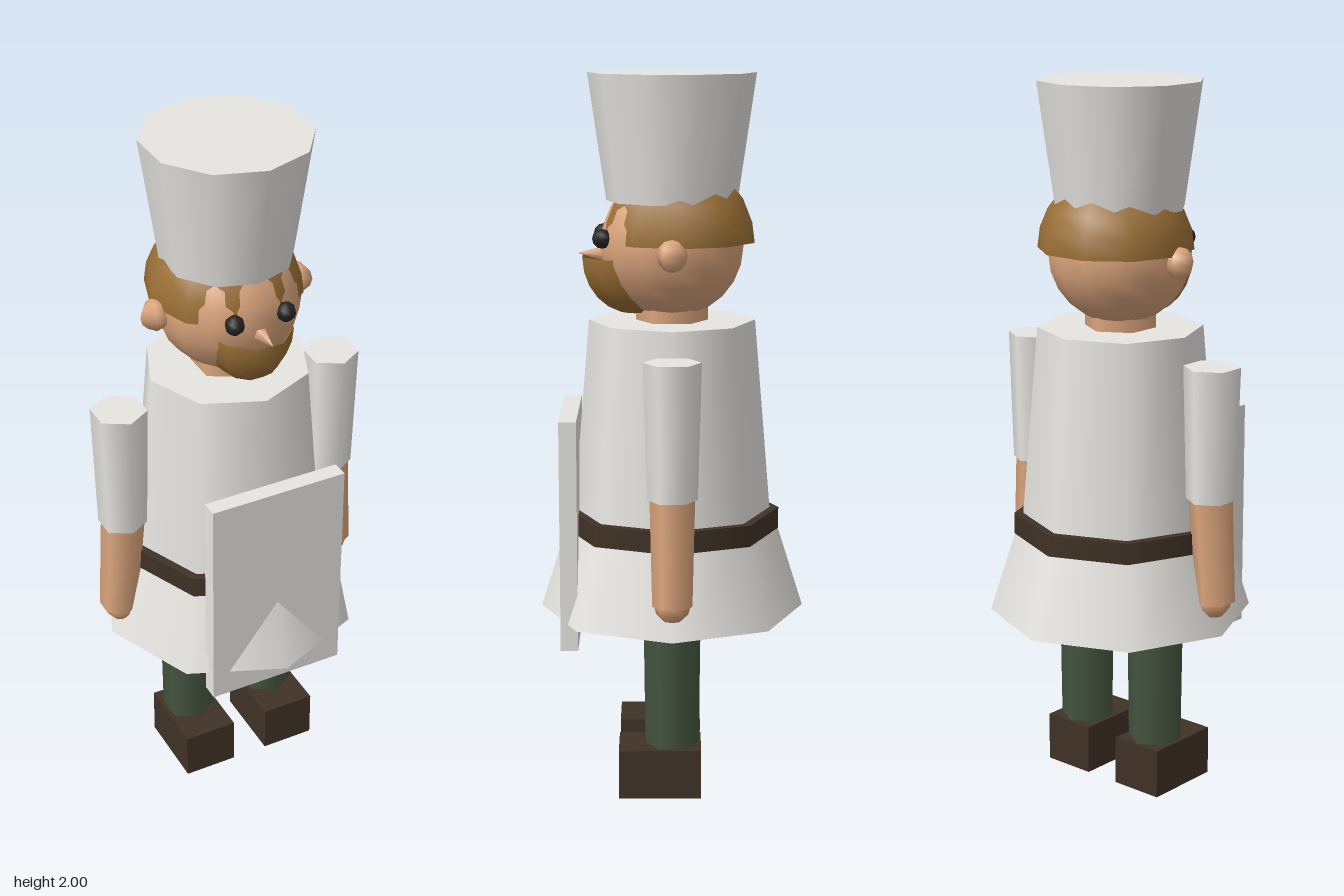
import * as THREE from 'three';

const mat = (name, color) => {
  const m = new THREE.MeshStandardMaterial({ color });
  m.name = name;
  return m;
};

export function createModel() {
  const white = mat('white cloth', 0xeeece8);
  const skin = mat('skin', 0xdba57c);
  const hairMat = mat('hair brown', 0x9a6f35);
  hairMat.side = THREE.DoubleSide;
  const green = mat('trouser green', 0x455540);
  const leather = mat('dark leather', 0x403226);
  const black = mat('eye black', 0x252422);

  const model = new THREE.Group();
  model.name = 'cook';

  const add = (name, geometry, material, x, y, z = 0) => {
    const mesh = new THREE.Mesh(geometry, material);
    mesh.name = name;
    mesh.position.set(x, y, z);
    model.add(mesh);
    return mesh;
  };
  // Upright tapered prism between two heights
  const taper = (name, rTop, rBottom, y0, y1, sides, material, x = 0) =>
    add(name, new THREE.CylinderGeometry(rTop, rBottom, y1 - y0, sides), material, x, (y0 + y1) / 2);

  // Clothing
  taper('tunic', 0.23, 0.28, 0.73, 1.325, 8, white);
  taper('skirt', 0.288, 0.37, 0.505, 0.765, 8, white);
  taper('belt', 0.3, 0.3, 0.73, 0.79, 8, leather);
  add('apron', new THREE.BoxGeometry(0.4, 0.645, 0.048), white, 0, 0.752, 0.284);

  // Head and face
  taper('neck', 0.1, 0.1, 1.28, 1.42, 6, skin);
  add('head', new THREE.SphereGeometry(0.2, 14, 12), skin, 0, 1.535);
  const hair = new THREE.SphereGeometry(0.215, 10, 6, 0, Math.PI * 2, 0, Math.PI / 2);
  add('hair', hair, hairMat, 0, 1.545, -0.02);
  const beard = new THREE.SphereGeometry(1, 10, 6, 0, Math.PI * 2, Math.PI / 2, Math.PI / 2);
  beard.scale(0.122, 0.16, 0.15);
  add('beard', beard, hairMat, 0, 1.502, 0.103);
  add('nose', new THREE.ConeGeometry(0.025, 0.085, 5), skin, 0, 1.51, 0.218).rotation.x = Math.PI / 2;

  // Hat
  taper('hat', 0.23, 0.18, 1.655, 2, 10, white);

  // Mirrored parts
  for (const [side, s] of [['left', 1], ['right', -1]]) {
    add(side + 'Eye', new THREE.SphereGeometry(0.027, 8, 6), black, s * 0.075, 1.557, 0.19);
    add(side + 'Ear', new THREE.SphereGeometry(0.044, 5, 6), skin, s * 0.21, 1.525);
    taper(side + 'Sleeve', 0.078, 0.068, 0.89, 1.26, 6, white, s * 0.325);
    const forearm = taper(side + 'Forearm', 0.062, 0.054, 0.6, 0.94, 6, skin, s * 0.334);
    forearm.rotation.z = s * 0.075;
    add(side + 'Hand', new THREE.SphereGeometry(0.05, 8, 6), skin, s * 0.346, 0.605).scale.x = 0.85;
    taper(side + 'Leg', 0.08, 0.075, 0.12, 0.55, 6, green, s * 0.13);
    add(side + 'Shoe', new THREE.BoxGeometry(0.155, 0.14, 0.23), leather, s * 0.13, 0.07, 0.034);
  }
  return model;
}
